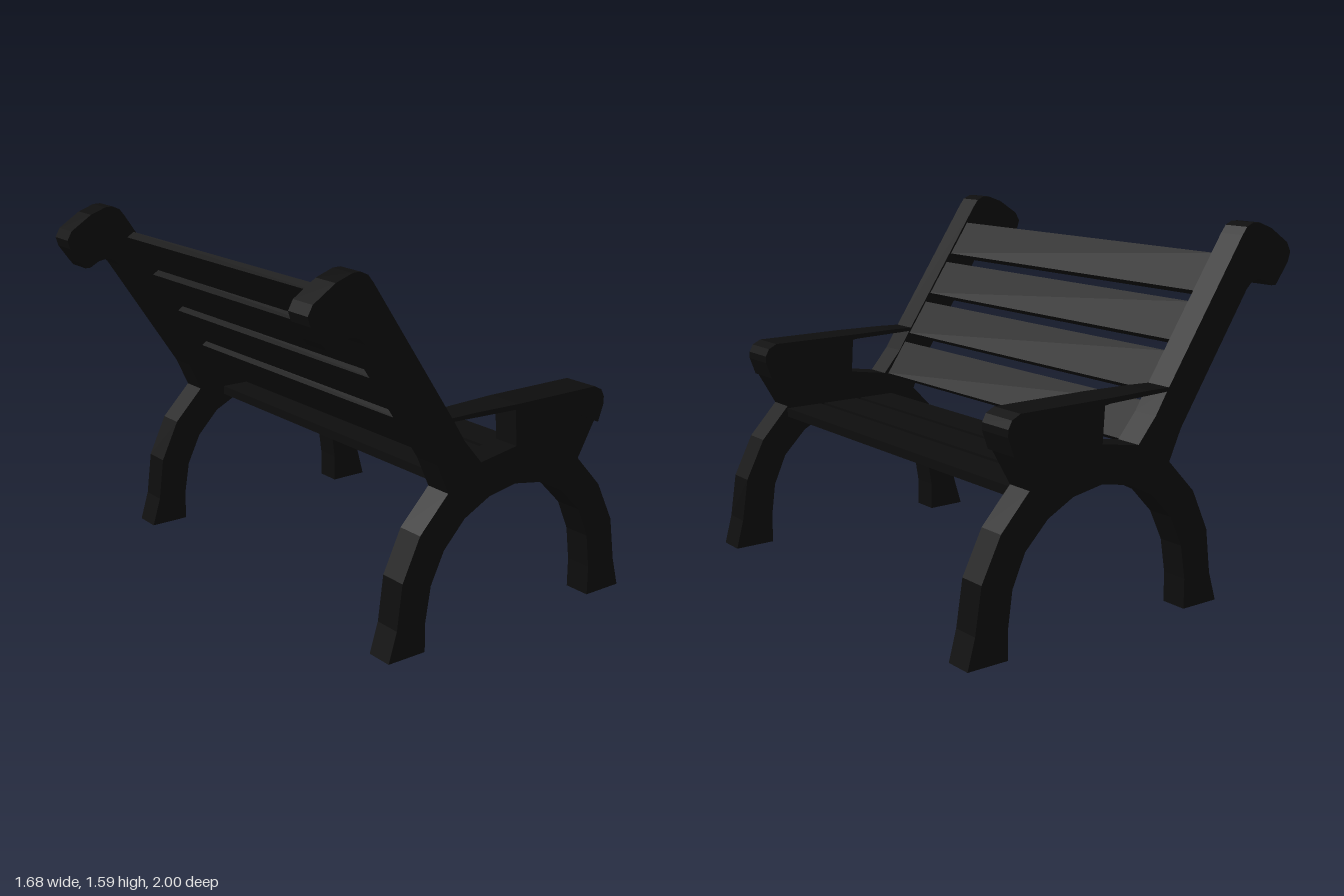
import * as THREE from 'three';

const material = new THREE.MeshStandardMaterial({ color: 0x0d0d0d, flatShading: true });

const SIDE_Z = 0.92;   // centre plane of each cast end frame
const FRAME_T = 0.12;  // frame thickness
const SPAN = 1.76;     // slat length, let slightly into the frames

// Extrude an x/y outline, centred on z
function plate(points, depth) {
  const shape = new THREE.Shape(points.map(([x, y]) => new THREE.Vector2(x, y)));
  const geo = new THREE.ExtrudeGeometry(shape, { depth, bevelEnabled: false });
  return geo.translate(0, 0, -depth / 2);
}

function addMesh(parent, name, geo, x = 0, y = 0, z = 0) {
  const mesh = new THREE.Mesh(geo, material);
  mesh.name = name;
  mesh.position.set(x, y, z);
  parent.add(mesh);
  return mesh;
}

// Arched legs, reclined back post with scrolled head, and arm support in one casting
function frameGeometry() {
  return plate([
    // rear leg, outside
    [-0.46, 0], [-0.42, 0.13], [-0.395, 0.325], [-0.31, 0.505], [-0.17, 0.65],
    // back post, rear edge
    [-0.23, 0.78], [-0.585, 1.315],
    // scrolled head
    [-0.61, 1.34], [-0.65, 1.352], [-0.69, 1.345], [-0.735, 1.32], [-0.76, 1.32],
    [-0.78, 1.345], [-0.83, 1.415], [-0.842, 1.455], [-0.82, 1.495], [-0.72, 1.56],
    [-0.645, 1.587], [-0.61, 1.588], [-0.575, 1.572], [-0.55, 1.54],
    // back post, front edge
    [-0.15, 0.945], [-0.09, 0.85], [0, 0.745], [0.19, 0.775],
    // arm support
    [0.18, 0.94], [0.43, 0.905], [0.64, 0.805], [0.55, 0.65],
    // front leg, outside
    [0.685, 0.505], [0.775, 0.325], [0.805, 0.13], [0.84, 0],
    // inside of the arch
    [0.65, 0], [0.65, 0.13], [0.63, 0.28], [0.57, 0.415], [0.46, 0.525],
    [0.335, 0.59], [0.19, 0.615], [0.05, 0.59], [-0.08, 0.525],
    [-0.185, 0.415], [-0.25, 0.28], [-0.275, 0.13], [-0.275, 0],
  ], FRAME_T);
}

// Armrest that widens from the back post to the drooping front
function armGeometry() {
  const geo = plate([
    [-0.17, 0.942], [0.17, 0.938], [0.43, 0.897], [0.64, 0.798],
    [0.668, 0.875], [0.667, 0.905], [0.65, 0.938], [0.61, 0.958],
    [0.17, 0.96], [-0.05, 0.96], [-0.17, 0.957],
  ], 2);
  const pos = geo.attributes.position;
  for (let i = 0; i < pos.count; i++) {
    const t = THREE.MathUtils.clamp((pos.getX(i) + 0.15) / 0.32, 0, 1);
    pos.setZ(i, pos.getZ(i) * THREE.MathUtils.lerp(0.06, 0.08, t));
  }
  geo.computeVertexNormals();
  return geo;
}

export function createModel() {
  const bench = new THREE.Group();
  bench.name = 'bench';

  // End frames and armrests
  const frame = frameGeometry();
  const arm = armGeometry();
  for (const [side, s] of [['left', 1], ['right', -1]]) {
    addMesh(bench, `${side}EndFrame`, frame, 0, 0, s * SIDE_Z);
    addMesh(bench, `${side}Armrest`, arm, 0, 0, s * SIDE_Z);
  }

  // Seat slats
  const seatSlat = new THREE.BoxGeometry(0.18, 0.04, SPAN);
  for (let i = 0; i < 3; i++) {
    addMesh(bench, `seatSlat${i + 1}`, seatSlat, 0.46 - i * 0.203, 0.62, 0);
  }

  // Back slats, stepped up the reclined posts
  const backSlat = new THREE.BoxGeometry(0.04, 0.18, SPAN);
  for (let i = 0; i < 4; i++) {
    const slat = addMesh(bench, `backSlat${i + 1}`, backSlat,
      -0.088 - i * 0.1285, 0.805 + i * 0.19, 0);
    slat.rotation.z = 0.595;
  }
  return bench;
}
